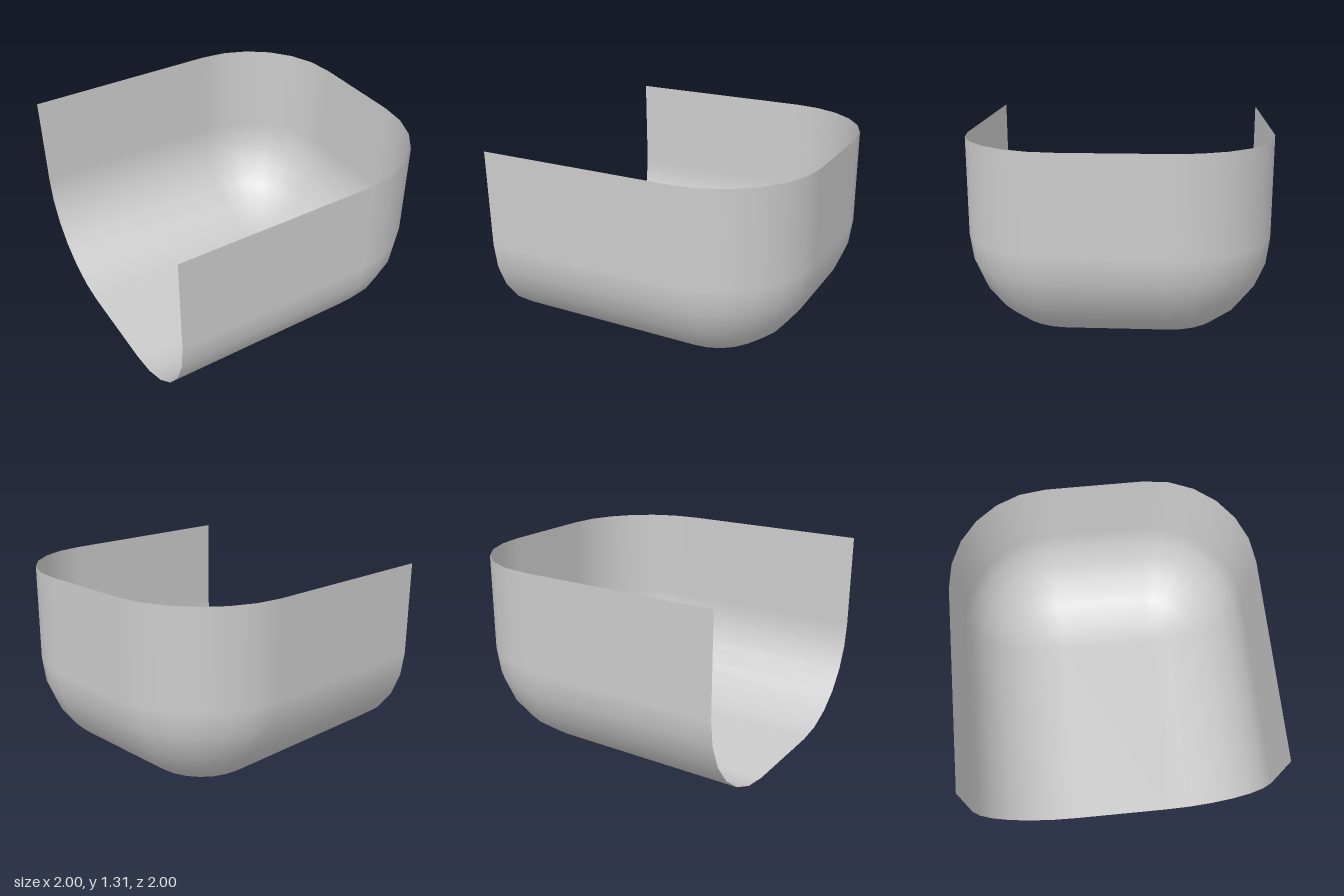
import * as THREE from 'three';

const R = 0.67;        // radius of every rounded edge and corner
const INNER = 1 - R;   // half width of the flat floor
const HEIGHT = 1.31;
const SEG = 6;         // segments per quarter turn

export function createModel() {
  const group = new THREE.Group();

  // U-shaped plan: arc centre (x, z) and outward angle for each column
  const columns = [[-1, INNER, 0]];
  for (let i = 0; i <= SEG; i++) columns.push([INNER, INNER, (i / SEG) * Math.PI / 2]);
  for (let i = 0; i <= SEG; i++) columns.push([INNER, -INNER, (1 + i / SEG) * Math.PI / 2]);
  columns.push([-1, -INNER, Math.PI]);

  // Rows from the rim down the wall and round to the floor: [height, tilt]
  const rows = [[HEIGHT, 0]];
  for (let j = 0; j <= SEG; j++) {
    const tilt = (j / SEG) * Math.PI / 2;
    rows.push([R - R * Math.sin(tilt), tilt]);
  }

  const positions = [], normals = [], index = [];
  for (const [y, tilt] of rows) {
    for (const [x, z, a] of columns) {
      const nx = Math.sin(a) * Math.cos(tilt), nz = Math.cos(a) * Math.cos(tilt);
      positions.push(x + R * nx, y, z + R * nz);
      normals.push(nx, -Math.sin(tilt), nz);
    }
  }

  // Walls and rounded corners
  const n = columns.length;
  for (let j = 0; j < rows.length - 1; j++) {
    for (let i = 0; i < n - 1; i++) {
      const p = j * n + i, below = p + n;
      index.push(p, below, p + 1);
      if (j < rows.length - 2 || i === 0 || i === SEG + 1 || i === n - 2) {
        index.push(below, below + 1, p + 1);
      }
    }
  }

  // Flat floor
  const f = (rows.length - 1) * n;
  index.push(f, f + SEG + 2, f + SEG + 1, f, f + n - 1, f + SEG + 2);

  const geometry = new THREE.BufferGeometry();
  geometry.setAttribute('position', new THREE.Float32BufferAttribute(positions, 3));
  geometry.setAttribute('normal', new THREE.Float32BufferAttribute(normals, 3));
  geometry.setIndex(index);

  const shell = new THREE.Mesh(geometry, new THREE.MeshStandardMaterial({
    color: 0xcccccc, side: THREE.DoubleSide,
  }));
  shell.name = 'roundedShell';
  group.add(shell);
  return group;
}
